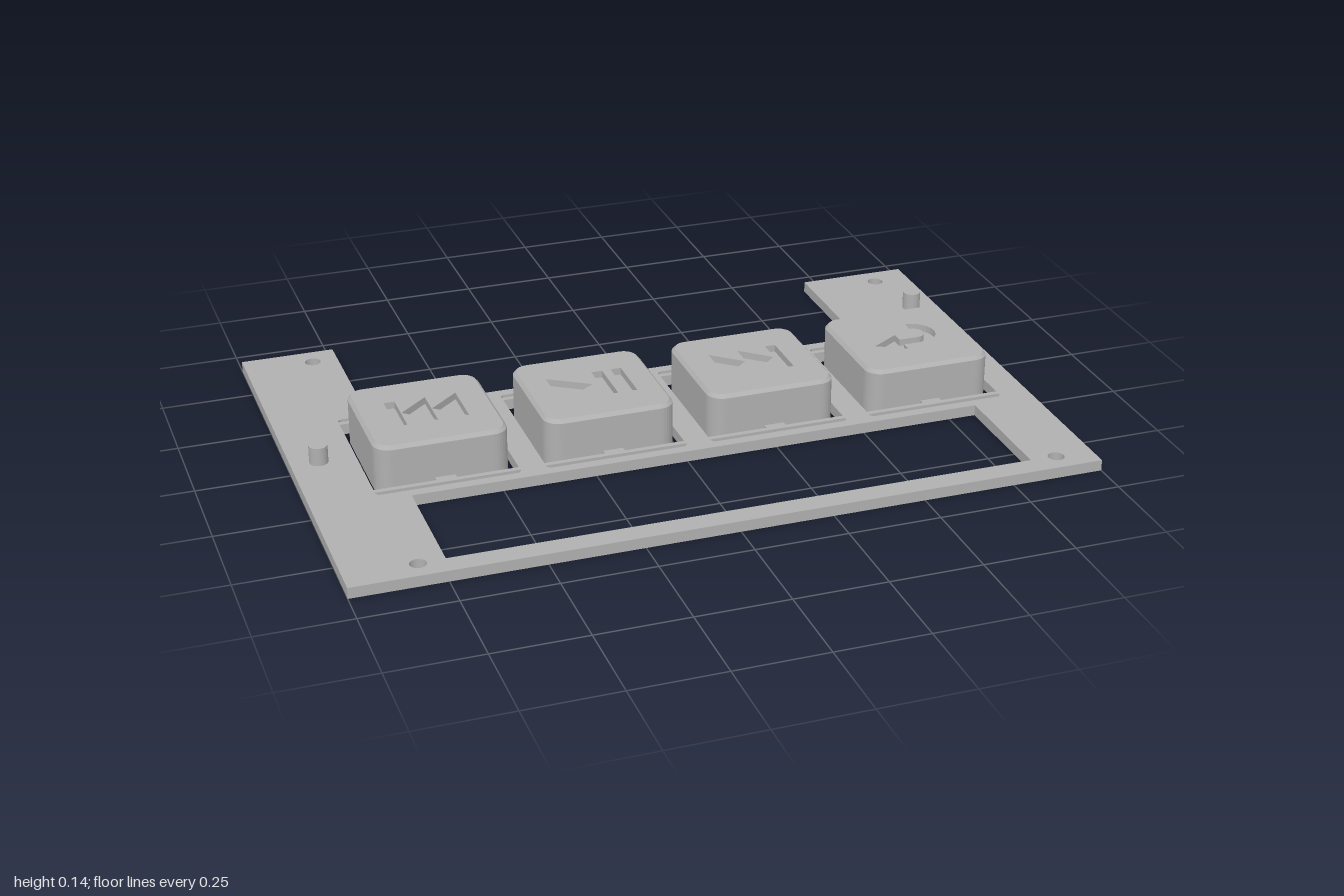
import * as THREE from 'three';

const PLATE_H = 0.03, KEY_H = 0.137, KEY_HALF = 0.178, KEY_Z = 0.006;
const KEY_X = [-0.635, -0.182, 0.27, 0.724];

// Shape coordinates are (x, -z); geometry is laid flat afterwards.
function polygon(points) {
  return new THREE.Shape(points.map(([x, z]) => new THREE.Vector2(x, -z)));
}

function rect(x0, x1, z0, z1) {
  return polygon([[x0, z1], [x1, z1], [x1, z0], [x0, z0]]);
}

function circle(x, z, r) {
  return new THREE.Shape().absarc(x, -z, r, 0, Math.PI * 2);
}

// Rounded square outline, counter-clockwise seen from above, as [x, z].
function roundedSquare(half, radius, steps = 8) {
  const points = [];
  for (let corner = 0; corner < 4; corner++) {
    const sx = corner === 0 || corner === 3 ? 1 : -1;
    const sy = corner < 2 ? 1 : -1;
    for (let i = 0; i <= steps; i++) {
      const a = (corner + i / steps) * Math.PI / 2;
      points.push([
        sx * (half - radius) + radius * Math.cos(a),
        -(sy * (half - radius) + radius * Math.sin(a)),
      ]);
    }
  }
  return points;
}

function slab(shape, y0, y1) {
  return new THREE.ExtrudeGeometry(shape, { depth: y1 - y0, bevelEnabled: false, curveSegments: 16 })
    .rotateX(-Math.PI / 2).translate(0, y0, 0);
}

// Flat-faced wall between consecutive loops of equal length.
function loft(loops) {
  const pos = [];
  for (let k = 0; k + 1 < loops.length; k++) {
    const a = loops[k], b = loops[k + 1];
    for (let i = 0; i < a.length; i++) {
      const j = (i + 1) % a.length;
      pos.push(...a[i], ...a[j], ...b[j], ...a[i], ...b[j], ...b[i]);
    }
  }
  const g = new THREE.BufferGeometry();
  g.setAttribute('position', new THREE.Float32BufferAttribute(pos, 3));
  g.computeVertexNormals();
  return g;
}

const at = (points, y) => points.map(([x, z]) => [x, y, z]);

// Symbols, each a list of cut-out outlines.
function skipSymbol(dir) {
  return [
    rect(Math.min(dir * 0.097, dir * 0.068), Math.max(dir * 0.097, dir * 0.068), -0.07, 0.07),
    polygon([[dir * 0.066, 0], [-dir * 0.014, -0.07], [-dir * 0.014, 0.07]]),
    polygon([[-dir * 0.016, 0], [-dir * 0.097, -0.07], [-dir * 0.097, 0.07]]),
  ];
}

function playPauseSymbol() {
  return [
    polygon([[0.003, 0], [-0.107, -0.07], [-0.107, 0.07]]),
    rect(0.021, 0.051, -0.07, 0.07),
    rect(0.075, 0.104, -0.07, 0.07),
  ];
}

function returnSymbol() {
  const arc = r => Array.from({ length: 13 }, (_, i) => {
    const a = Math.PI / 2 - i * Math.PI / 12;
    return [0.035 + r * Math.cos(a), -0.018 + r * Math.sin(a)];
  });
  return [polygon([
    [-0.1, 0.027], [-0.02, -0.022], [-0.02, 0.01],
    ...arc(0.028), ...arc(0.06).reverse(),
    [-0.02, 0.042], [-0.02, 0.07],
  ])];
}

function makeKey(symbol, material) {
  const key = new THREE.Group();
  const add = (geometry, name) => {
    const mesh = new THREE.Mesh(geometry, material);
    mesh.name = name;
    key.add(mesh);
  };
  const outer = roundedSquare(KEY_HALF, 0.045);
  const inner = roundedSquare(KEY_HALF - 0.009, 0.036);

  // Side wall with chamfered upper edge
  add(loft([at(outer, 0), at(outer, KEY_H - 0.01), at(inner, KEY_H)]), 'keySides');

  // Top with engraved symbol and the floor of the engraving
  const top = polygon(inner);
  top.holes.push(...symbol);
  add(slab(top, KEY_H - 0.02, KEY_H), 'keyTop');
  add(new THREE.ShapeGeometry(polygon(inner)).rotateX(-Math.PI / 2)
    .translate(0, KEY_H - 0.0195, 0), 'symbolFloor');

  // Underside with a tapered square recess
  const under = polygon(outer);
  under.holes.push(rect(-0.095, 0.095, -0.095, 0.095));
  const bottom = new THREE.ShapeGeometry(under).rotateX(-Math.PI / 2);
  const order = bottom.index.array;
  for (let i = 0; i < order.length; i += 3) [order[i], order[i + 1]] = [order[i + 1], order[i]];
  bottom.computeVertexNormals();
  add(bottom, 'keyUnderside');
  const square = (h, y) => [[-h, y, -h], [h, y, -h], [h, y, h], [-h, y, h]];
  add(loft([square(0.095, 0), square(0.035, 0.085), square(0.0005, 0.085)]), 'keyRecess');

  // Tabs joining the key to its spring strips
  for (const side of [-1, 1]) {
    add(new THREE.BoxGeometry(0.055, PLATE_H, 0.03)
      .translate(0, PLATE_H / 2, side * 0.184), 'springTab');
  }
  return key;
}

export function createModel() {
  const model = new THREE.Group();
  model.name = 'buttonPanel';
  const grey = new THREE.MeshStandardMaterial({ color: 0xb0b0b0 });
  grey.name = 'grey';

  // Base plate with rear notch, front window, screw holes and key openings
  const plate = polygon([
    [-1, 0.655], [1, 0.655], [1, -0.655], [0.695, -0.655],
    [0.695, -0.247], [-0.742, -0.247], [-0.742, -0.655], [-1, -0.655],
  ]);
  plate.holes.push(rect(-0.742, 0.825, 0.258, 0.594));
  for (const x of [-0.812, 0.897]) {
    for (const z of [-0.592, 0.597]) plate.holes.push(circle(x, z, 0.022));
  }
  for (const x of KEY_X) {
    plate.holes.push(rect(x - 0.192, x + 0.192, KEY_Z - 0.193, KEY_Z + 0.193));
    for (const side of [-1, 1]) {
      const near = KEY_Z + side * 0.208, far = KEY_Z + side * 0.223;
      plate.holes.push(polygon([
        [x - 0.192, near], [x + 0.192, near], [x + 0.192, far - side * 0.008],
        [x + 0.184, far], [x - 0.184, far], [x - 0.192, far - side * 0.008],
      ]));
    }
  }
  const base = new THREE.Mesh(slab(plate, 0, PLATE_H), grey);
  base.name = 'basePlate';
  model.add(base);

  // Keys
  const symbols = [skipSymbol(-1), playPauseSymbol(), skipSymbol(1), returnSymbol()];
  const names = ['previousKey', 'playPauseKey', 'nextKey', 'returnKey'];
  KEY_X.forEach((x, i) => {
    const key = makeKey(symbols[i], grey);
    key.name = names[i];
    key.position.set(x, 0, KEY_Z);
    model.add(key);
  });

  // Locating pins
  for (const [x, z] of [[-0.925, 0.002], [0.923, -0.388]]) {
    const pin = new THREE.Mesh(new THREE.CylinderGeometry(0.025, 0.025, 0.06, 24), grey);
    pin.name = 'locatingPin';
    pin.position.set(x, 0.05, z);
    model.add(pin);
  }
  return model;
}
